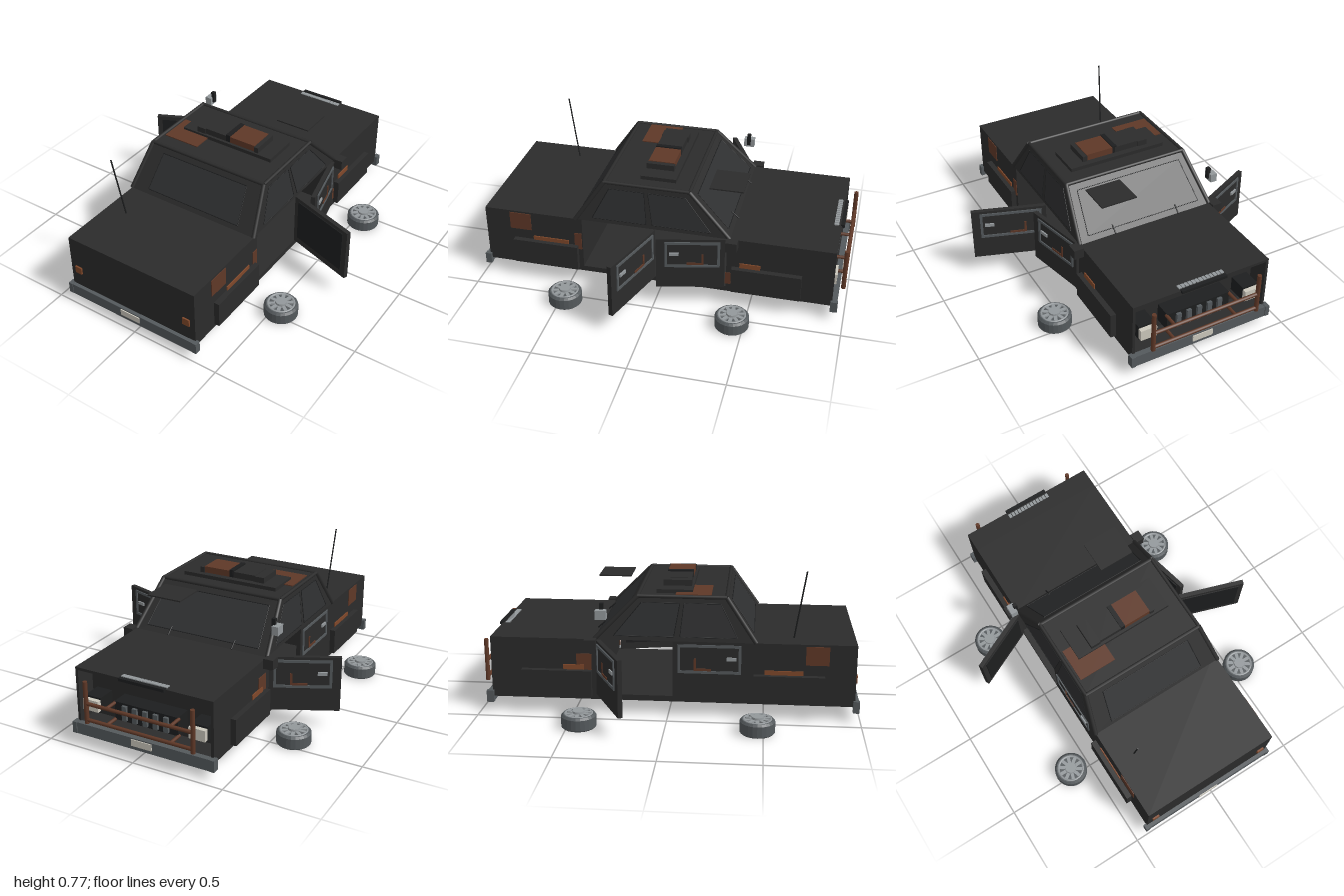
import * as THREE from 'three';

const mat = (name, color, side = THREE.FrontSide) => {
  const m = new THREE.MeshStandardMaterial({ color, side });
  m.name = name;
  return m;
};

export function createModel() {
  const car = new THREE.Group();
  car.name = 'wreckedCar';
  const paint = mat('charcoal paint', 0x2b2b2b, THREE.DoubleSide);
  const glass = mat('dark glass', 0x2e2f30, THREE.DoubleSide);
  const trim = mat('black trim', 0x1d1e1f);
  const steel = mat('bumper grey', 0x54595c);
  const silver = mat('light metal', 0x93989b);
  const rust = mat('rust', 0x5f3827);
  const orange = mat('orange rust', 0x80482a);
  const pale = mat('pale lamp', 0xcbc7bc);

  const add = (name, geo, m, parent = car) => {
    const mesh = new THREE.Mesh(geo, m);
    mesh.name = name;
    parent.add(mesh);
    return mesh;
  };
  // Box given by its extents on each axis
  const box = (name, m, x0, x1, y0, y1, z0, z1, parent = car) => {
    const mesh = add(name, new THREE.BoxGeometry(x1 - x0, y1 - y0, z1 - z0), m, parent);
    mesh.position.set((x0 + x1) / 2, (y0 + y1) / 2, (z0 + z1) / 2);
    return mesh;
  };
  // Round bar between two points
  const bar = (name, m, a, b, r, parent = car) => {
    const p = new THREE.Vector3(...a), q = new THREE.Vector3(...b), d = q.clone().sub(p);
    const mesh = add(name, new THREE.CylinderGeometry(r, r, d.length(), 8), m, parent);
    mesh.position.copy(p).add(q).multiplyScalar(0.5);
    mesh.quaternion.setFromUnitVectors(new THREE.Vector3(0, 1, 0), d.normalize());
    return mesh;
  };
  const quad = (pts) => {
    const g = new THREE.BufferGeometry();
    g.setAttribute('position', new THREE.Float32BufferAttribute(pts.flatMap((p) => [p.x, p.y, p.z]), 3));
    g.setIndex([0, 1, 2, 0, 2, 3]);
    g.computeVertexNormals();
    return g;
  };

  const L = -0.42, R = 0.365, CX = (L + R) / 2;

  // Lower body: floor, tail box and open-nosed front box
  box('floor', paint, L, R, 0.08, 0.11, -0.93, 0.97);
  box('tailBody', paint, L, R, 0.11, 0.41, 0.42, 0.97);
  box('frontBody', paint, L, R, 0.11, 0.41, -0.82, -0.37);
  box('hoodLip', paint, L, R, 0.395, 0.41, -0.935, -0.82);
  for (const x of [L, R - 0.015]) box('noseSide', paint, x, x + 0.015, 0.11, 0.395, -0.935, -0.82);

  // Cabin shell: sloped faces between a base and a roof rectangle
  const V = (x, y, z) => new THREE.Vector3(x, y, z);
  const base = [V(L, 0.41, 0.455), V(R, 0.41, 0.455), V(R, 0.41, -0.385), V(L, 0.41, -0.385)];
  const top = [V(-0.38, 0.637, 0.3), V(0.325, 0.637, 0.3), V(0.325, 0.637, -0.16), V(-0.38, 0.637, -0.16)];
  const names = ['rear', 'left', 'windshield', 'right'];
  const windows = [[[0.13, 0.87]], [[0.1, 0.47], [0.51, 0.9]], [[0.07, 0.93]], [[0.1, 0.49], [0.53, 0.9]]];
  names.forEach((n, i) => {
    const j = (i + 1) % 4, f = [base[i], base[j], top[j], top[i]];
    add(n + 'CabinFace', quad(f), paint);
    bar('pillar', paint, base[i].toArray(), top[i].toArray(), 0.012);
    bar('roofEdge', paint, top[i].toArray(), top[j].toArray(), 0.01);
    const normal = f[1].clone().sub(f[0]).cross(f[3].clone().sub(f[0])).normalize().multiplyScalar(0.005);
    const at = (u, v) => f[0].clone().lerp(f[1], u).lerp(f[3].clone().lerp(f[2], u), v).add(normal);
    for (const [u0, u1] of windows[i]) {
      const w = [at(u0, 0.1), at(u1, 0.1), at(u1, 0.86), at(u0, 0.86)];
      add(n + 'Window', quad(w), glass);
      w.forEach((p, k) => bar('windowTrim', trim, p.toArray(), w[(k + 1) % 4].toArray(), 0.0022));
    }
  });
  add('roof', quad(top), paint);

  // Roof light bar, one lens faded to rust
  box('lightBarBase', paint, -0.31, 0.25, 0.637, 0.657, -0.07, 0.12);
  box('darkLens', paint, -0.17, -0.03, 0.657, 0.69, -0.035, 0.105);
  box('lensEnd', paint, -0.225, -0.17, 0.657, 0.688, -0.04, 0.11);
  box('lensDivider', trim, -0.04, -0.015, 0.657, 0.698, -0.035, 0.105);
  box('rustLens', rust, -0.015, 0.14, 0.657, 0.692, -0.035, 0.105);
  box('lensEnd', paint, 0.14, 0.165, 0.657, 0.688, -0.04, 0.11);

  // Roof rust patch, broken into pieces
  box('roofRust', rust, -0.36, -0.31, 0.64, 0.645, 0.035, 0.22);
  box('roofRust', rust, -0.31, -0.15, 0.64, 0.645, 0.12, 0.22);

  // Doors hinged at their front edge, all but one swung open
  const door = (name, s, x, z, len, angle) => {
    const g = new THREE.Group();
    g.name = name;
    g.position.set(x, 0, z);
    g.rotation.y = angle;
    car.add(g);
    const plate = (n, m, y0, y1, z0, z1, d = 0.006) => {
      const a = s * 0.012, b = s * (0.012 + d);
      box(n, m, Math.min(a, b), Math.max(a, b), y0, y1, z0, z1, g);
    };
    box('doorPanel', paint, -0.012, 0.012, 0.11, 0.41, 0, len, g);
    const inner = s * -0.014;
    box('doorLining', trim, inner - 0.003, inner + 0.003, 0.15, 0.39, 0.03, len - 0.03, g);
    const z0 = 0.025, z1 = len - 0.045, t = 0.014;
    plate('doorFrame', steel, 0.24, 0.24 + t, z0, z1);
    plate('doorFrame', steel, 0.395 - t, 0.395, z0, z1);
    plate('doorFrame', steel, 0.24, 0.395, z0, z0 + t);
    plate('doorFrame', steel, 0.24, 0.395, z1 - t, z1);
    plate('doorHandle', silver, 0.312, 0.33, z1 - 0.075, z1 - 0.025, 0.008);
    plate('rustStreak', rust, 0.254, 0.32, 0.11, 0.122, 0.004);
    plate('rustStreak', rust, 0.254, 0.266, 0.122, 0.2, 0.004);
  };
  door('leftFrontDoor', 1, R, -0.36, 0.36, 0.22);
  door('leftRearDoor', 1, R, 0.025, 0.405, 1.25);
  door('rightFrontDoor', -1, L, -0.365, 0.37, -1.12);
  door('rightRearDoor', -1, L + 0.012, 0.025, 0.4, 0);

  // Fender flares, mirrors and side rust on both flanks
  for (const s of [1, -1]) {
    const face = s > 0 ? R : L;
    const side = (n, m, d, y0, y1, z0, z1) =>
      box(n, m, Math.min(face, face + s * d), Math.max(face, face + s * d), y0, y1, z0, z1);
    side('rearFender', paint, 0.03, 0.1, 0.243, 0.445, 0.81);
    side('frontFender', paint, 0.03, 0.1, 0.243, -0.77, -0.4);
    side('doorMirror', paint, 0.055, 0.365, 0.42, -0.43, -0.37);
    side('rustPatch', rust, 0.004, 0.3, 0.4, 0.71, 0.83);
    side('orangeStrip', orange, 0.006, 0.243, 0.266, 0.5, 0.7);
    side('orangeStrip', orange, 0.006, 0.243, 0.27, -0.55, -0.44);
    if (s > 0) {
      side('rustPatch', rust, 0.004, 0.22, 0.32, 0.425, 0.465);
      side('rustPatch', rust, 0.004, 0.13, 0.2, -0.395, -0.365);
    } else side('rustPatch', rust, 0.004, 0.24, 0.33, -0.48, -0.4);
    // Tail lamps and headlamps
    const x = CX + s * 0.342;
    box('tailLamp', orange, x - 0.02, x + 0.02, 0.2, 0.24, 0.97, 0.979);
    const h = CX + s * 0.305;
    box('headlamp', pale, h - 0.045, h + 0.045, 0.19, 0.25, -0.945, -0.92);
    box('headlampMount', trim, h - 0.045, h + 0.045, 0.18, 0.26, -0.92, -0.82);
  }

  // Bumpers with plates
  for (const [n, z0, z1, p] of [['rearBumper', 0.965, 0.99, 0.99], ['frontBumper', -0.96, -0.93, -0.965]]) {
    box(n, steel, -0.435, 0.38, 0.05, 0.112, z0, z1);
    for (const x of [-0.425, 0.37]) box(n + 'End', steel, x - 0.012, x + 0.012, 0.052, 0.114, z0 - 0.005, z1 + 0.003);
    box('numberPlate', pale, -0.088, 0.03, 0.07, 0.106, p, p + 0.005);
  }

  // Grille and hood vent
  box('grille', trim, -0.21, 0.155, 0.16, 0.26, -0.91, -0.82);
  for (let i = 0; i < 5; i++) {
    const x = CX + (i - 2) * 0.06;
    box('grilleSlat', steel, x - 0.013, x + 0.013, 0.17, 0.25, -0.925, -0.91);
  }
  for (let i = 0; i < 13; i++) {
    const x = -0.16 + i * 0.0204;
    box('hoodVent', silver, x, x + 0.0165, 0.41, 0.415, -0.92, -0.895);
  }
  box('hoodLatch', trim, -0.16, 0.1, 0.4, 0.416, -0.95, -0.93);

  // Rusty push bar
  for (const x of [-0.335, 0.275]) bar('pushBarUpright', rust, [x, 0.14, -0.982], [x, 0.37, -0.982], 0.012);
  for (const y of [0.16, 0.25]) {
    bar('pushBarRail', rust, [-0.34, y, -0.982], [0.28, y, -0.982], 0.01);
    for (const x of [-0.21, 0.155]) bar('pushBarBracket', rust, [x, y, -0.98], [x, y, -0.9], 0.009);
  }

  // Loose hatch, spot lamp, wipers and aerial
  box('looseHatch', paint, 0.06, 0.26, 0.632, 0.639, -0.43, -0.25);
  box('spotLamp', silver, -0.472, -0.435, 0.53, 0.577, -0.37, -0.312);
  box('spotLampArm', trim, -0.444, -0.424, 0.545, 0.61, -0.35, -0.33);
  bar('wiper', trim, [-0.22, 0.416, -0.395], [-0.22, 0.45, -0.355], 0.004);
  bar('wiper', trim, [0.16, 0.416, -0.395], [0.16, 0.45, -0.355], 0.004);
  bar('aerial', trim, [-0.305, 0.41, 0.65], [-0.325, 0.77, 0.705], 0.004);

  // Detached wheels lying flat
  const tyre = new THREE.LatheGeometry(
    [[0, 0], [0.084, 0], [0.09, 0.006], [0.09, 0.062], [0.08, 0.073], [0.07, 0.073], [0.068, 0.066], [0, 0.066]]
      .map(([x, y]) => new THREE.Vector2(x, y)), 24).toNonIndexed();
  tyre.computeVertexNormals();
  for (const x of [-0.605, 0.548]) for (const z of [-0.44, 0.47]) {
    const w = new THREE.Group();
    w.name = 'wheel';
    w.position.set(x, 0, z);
    car.add(w);
    add('tyre', tyre, steel, w);
    const rim = add('rim', new THREE.TorusGeometry(0.069, 0.007, 6, 24), silver, w);
    rim.rotation.x = Math.PI / 2;
    rim.position.y = 0.07;
    add('hub', new THREE.CylinderGeometry(0.03, 0.033, 0.022, 16), silver, w).position.y = 0.075;
    for (let i = 0; i < 10; i++) {
      const a = (i / 10) * Math.PI * 2;
      const spoke = add('spoke', new THREE.BoxGeometry(0.045, 0.008, 0.018), silver, w);
      spoke.position.set(Math.cos(a) * 0.048, 0.071, -Math.sin(a) * 0.048);
      spoke.rotation.y = a;
    }
  }
  return car;
}
